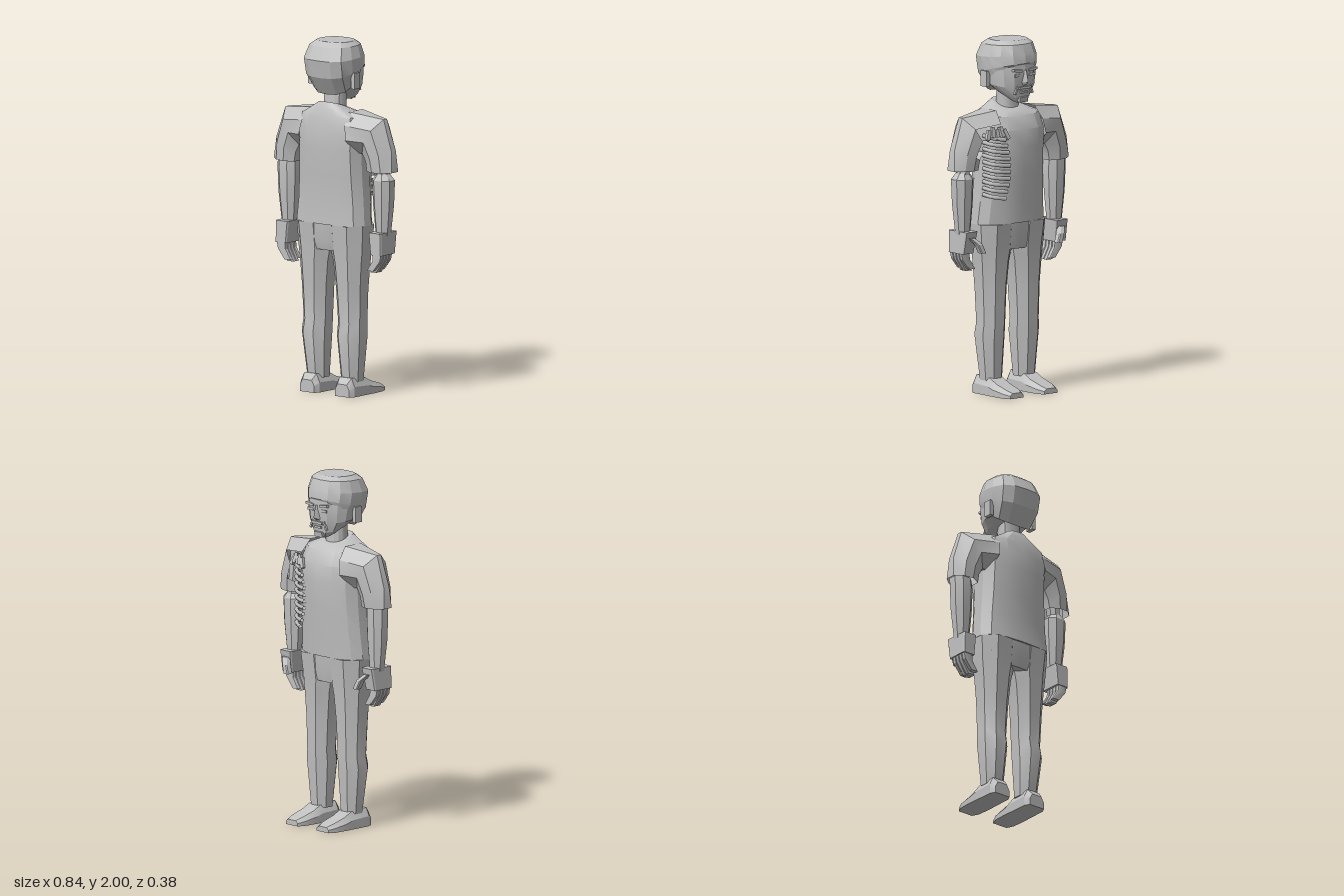
import * as THREE from 'three';
import { toCreasedNormals } from 'three/addons/utils/BufferGeometryUtils.js';

const grey = new THREE.MeshStandardMaterial({ color: 0xc0c0c0, side: THREE.DoubleSide });
grey.name = 'plain grey';

// Skin a list of rings (arrays of [x, y, z]); skip(i, j) leaves holes.
function loft(rings, { caps = true, skip = () => false, crease = 0.45 } = {}) {
  const n = rings[0].length, tris = [];
  for (let i = 0; i < rings.length - 1; i++) {
    for (let j = 0; j < n; j++) {
      if (skip(i, j)) continue;
      const k = (j + 1) % n;
      const a = rings[i][j], b = rings[i][k], c = rings[i + 1][k], d = rings[i + 1][j];
      tris.push([a, b, c], [a, c, d]);
    }
  }
  if (caps) {
    const [first, last] = [rings[0], rings[rings.length - 1]];
    for (let j = 1; j < n - 1; j++) {
      tris.push([first[0], first[j + 1], first[j]], [last[0], last[j], last[j + 1]]);
    }
  }
  // Turn every face outward
  const o = new THREE.Vector3(...rings[0][0]);
  let volume = 0;
  for (const t of tris) {
    const [p, q, r] = t.map(v => new THREE.Vector3(...v).sub(o));
    volume += p.dot(q.cross(r));
  }
  if (volume < 0) tris.forEach(t => t.reverse());
  const g = new THREE.BufferGeometry();
  g.setAttribute('position', new THREE.Float32BufferAttribute(tris.flat(2), 3));
  return toCreasedNormals(g, crease);
}

// Right half of the rounded body section: x factor, z factor (-1 front, 1 back)
const HALF = [[0, -1], [0.5, -0.92], [0.84, -0.62], [1, -0.2], [1, 0.3], [0.85, 0.74], [0.5, 0.96], [0, 1]];
const SECTION = [...HALF, ...HALF.slice(1, -1).reverse().map(([x, z]) => [-x, z])];

// Ring from front height, back height, half width, back z, front z
const bodyRing = ([yf, yb, w, b, f]) => SECTION.map(([x, z]) =>
  [x * w, yf + (yb - yf) * (z + 1) / 2, (b + f) / 2 + z * (b - f) / 2]);

// Chamfered rectangular ring in a horizontal plane
function limbRing(s, y, x0, x1, b, f, c = 0.28) {
  const cx = (x0 + x1) / 2, w = (x1 - x0) / 2, cz = (b + f) / 2, d = (b - f) / 2, k = 1 - 2 * c;
  return [[1, k], [k, 1], [-k, 1], [-1, k], [-1, -k], [-k, -1], [k, -1], [1, -k]]
    .map(([u, v]) => [s * (cx + u * w), y, cz + v * d]);
}

export function createModel() {
  const model = new THREE.Group();
  model.name = 'figure';
  const add = (name, geometry, parent = model) => {
    const m = new THREE.Mesh(geometry, grey);
    m.name = name;
    parent.add(m);
    return m;
  };
  const box = (name, w, h, d, x, y, z, rx = 0, rz = 0) => {
    const m = add(name, new THREE.BoxGeometry(w, h, d));
    m.position.set(x, y, z);
    m.rotation.set(rx, 0, rz);
    return m;
  };

  // Shirt and hips
  add('shirt', loft([
    [0.97, 0.97, 0.238, 0.158, -0.09], [1.1, 1.1, 0.226, 0.152, -0.1],
    [1.25, 1.25, 0.215, 0.16, -0.115], [1.4, 1.4, 0.21, 0.167, -0.125],
    [1.5, 1.5, 0.215, 0.165, -0.12], [1.575, 1.585, 0.2, 0.148, -0.085],
    [1.6, 1.63, 0.12, 0.135, -0.06], [1.61, 1.66, 0.075, 0.12, -0.035],
  ].map(bodyRing)));
  add('hips', loft([
    [0.82, 0.82, 0.17, 0.13, -0.065], [0.88, 0.87, 0.228, 0.142, -0.075],
    [0.99, 0.99, 0.23, 0.15, -0.084],
  ].map(bodyRing)));

  // Neck and head
  add('neck', loft([[1.56, 1.58, 0.06, 0.085, -0.025], [1.76, 1.76, 0.065, 0.075, -0.02]].map(bodyRing)));
  add('face', loft([
    [1.648, 1.715, 0.055, 0.05, -0.088], [1.68, 1.735, 0.095, 0.08, -0.105],
    [1.74, 1.76, 0.13, 0.11, -0.113], [1.82, 1.82, 0.14, 0.14, -0.124],
    [1.9, 1.88, 0.143, 0.16, -0.118],
  ].map(bodyRing), { crease: 0.3 }));
  add('hair', loft([
    [1.86, 1.70, 0.13, 0.11, -0.116], [1.875, 1.80, 0.152, 0.172, -0.126],
    [1.92, 1.90, 0.156, 0.19, -0.122], [1.98, 1.975, 0.135, 0.155, -0.1],
    [2, 2, 0.105, 0.12, -0.07],
  ].map(bodyRing), { crease: 0.3 }));
  add('nose', loft([
    [[-0.012, 1.84, -0.115], [0.012, 1.84, -0.115], [0, 1.835, -0.132]],
    [[-0.024, 1.765, -0.105], [0.024, 1.765, -0.105], [0, 1.77, -0.147]],
    [[-0.02, 1.75, -0.105], [0.02, 1.75, -0.105], [0, 1.755, -0.128]],
  ]));
  box('moustache', 0.085, 0.014, 0.022, 0, 1.738, -0.113);
  box('lowerLip', 0.05, 0.012, 0.02, 0, 1.712, -0.107);
  box('chinBeard', 0.06, 0.03, 0.03, 0, 1.672, -0.096, -0.2);
  for (const s of [-1, 1]) {
    box('ear', 0.025, 0.09, 0.05, s * 0.152, 1.785, 0.045);
    box('eyebrow', 0.06, 0.014, 0.02, s * 0.055, 1.838, -0.117, 0, s * 0.12);
    box('eye', 0.042, 0.015, 0.008, s * 0.053, 1.81, -0.118);
    box('cheek', 0.012, 0.05, 0.012, s * 0.054, 1.725, -0.107, 0, s * 0.4);
  }

  for (const s of [-1, 1]) {
    // Sleeve, from chest over the shoulder to the cuff; the left one is torn at the front
    const sleeveRing = ([ax, ay, bx, by, b, f, lean]) => {
      const m = (b + f) / 2;
      return [[0, m + lean], [0.3, b * 0.9 + m * 0.1], [0.65, b], [1, m + 0.05], [1, m - 0.05],
        [0.65, f], [0.3, f * 0.9 + m * 0.1], [0, m - lean]]
        .map(([t, z]) => [s * (ax + (bx - ax) * t), ay + (by - ay) * t, z]);
    };
    add('sleeve', loft([
      [0.14, 1.612, 0.18, 1.38, 0.155, -0.105, 0.06], [0.35, 1.585, 0.225, 1.385, 0.122, -0.07, 0.015],
      [0.41, 1.41, 0.25, 1.34, 0.112, -0.06, 0.02], [0.42, 1.29, 0.26, 1.285, 0.105, -0.05, 0.03],
    ].map(sleeveRing), {
      caps: false, skip: (i, j) => s > 0 && i < 2 && (j === 4 || (i === 0 && j === 5)),
    }));

    // Arm
    add('upperArm', loft([
      limbRing(s, 1.24, 0.305, 0.37, 0.06, -0.015),
      limbRing(s, 1.52, 0.26, 0.34, 0.07, -0.02),
    ]));
    const top = s > 0 ? [1.275, 0.305, 0.37, 0.06, -0.01] : [1.3, 0.28, 0.4, 0.075, -0.03];
    add('forearm', loft([
      limbRing(s, 0.92, 0.295, 0.375, 0.06, -0.012), limbRing(s, 1.1, 0.28, 0.395, 0.075, -0.025),
      limbRing(s, 1.24, 0.275, 0.4, 0.08, -0.03), limbRing(s, ...top),
    ]));

    // Hand, thumb and curled fingers
    add('hand', loft([
      limbRing(s, 0.82, 0.3, 0.378, 0.1, -0.03, 0.06),
      limbRing(s, 0.945, 0.287, 0.375, 0.1, -0.052, 0.06),
    ]));
    add('thumb', loft([[0.91, 0.33, -0.04], [0.875, 0.3, -0.07], [0.825, 0.28, -0.078]].map(
      ([y, x, z]) => limbRing(s, y, x - 0.018, x + 0.018, z + 0.02, z - 0.02, 0.15))));
    for (let i = 0; i < 4; i++) {
      const z = 0.082 - i * 0.027, tip = 0.715 + (i === 0 || i === 3 ? 0.012 : 0);
      add('finger', loft([[0.84, 0.345], [0.785, 0.337], [tip, 0.295]].map(
        ([y, x], k) => limbRing(s, y, x - 0.03 + k * 0.004, x + 0.03 - k * 0.004,
          z + 0.0125, z - 0.0125, 0.1))));
    }

    // Trouser leg
    add('leg', loft([
      [0.97, 0.002, 0.236, 0.15, -0.083], [0.82, 0.004, 0.226, 0.135, -0.066],
      [0.75, 0.02, 0.218, 0.13, -0.06], [0.6, 0.036, 0.207, 0.12, -0.05],
      [0.41, 0.046, 0.2, 0.11, -0.046], [0.34, 0.045, 0.206, 0.122, -0.043],
      [0.08, 0.062, 0.18, 0.09, -0.025],
    ].map(r => limbRing(s, ...r))));

    // Shoe, skinned from heel to toe
    add('shoe', loft([
      [0.13, 0.05, 0.07], [0.1, 0.066, 0.105], [-0.02, 0.068, 0.095],
      [-0.07, 0.07, 0.07], [-0.155, 0.066, 0.045], [-0.195, 0.048, 0.03],
    ].map(([z, w, h]) => [[-1, 0], [1, 0], [1, 0.55], [0.65, 1], [-0.65, 1], [-1, 0.55]]
      .map(([x, y]) => [s * (0.125 + x * w), y * h, z]))));
  }

  // Exposed ribs on the left of the chest
  const wound = new THREE.Group();
  wound.name = 'exposedRibs';
  model.add(wound);
  for (let i = 0; i < 10; i++) {
    const y = 1.13 + i * 0.037, inner = 0.15 - 0.045 * Math.sin((i + 1) / 11 * Math.PI);
    const path = new THREE.CatmullRomCurve3([
      new THREE.Vector3(0.222, y + 0.014, -0.02), new THREE.Vector3(0.212, y + 0.006, -0.075),
      new THREE.Vector3(0.18, y, -0.102), new THREE.Vector3(inner, y - 0.008, -0.115),
    ]);
    add('rib', new THREE.TubeGeometry(path, 6, 0.012, 5), wound);
  }
  // Torn cloth along the wound
  for (let i = 0; i < 5; i++) {
    const m = box('tornFlap', 0.022, 0.06, 0.02, 0.13 + i * 0.026, 1.485 + (i % 2) * 0.015,
      -0.108 + i * 0.008, 0.25, (i - 2) * 0.2);
    wound.add(m);
  }
  return model;
}
